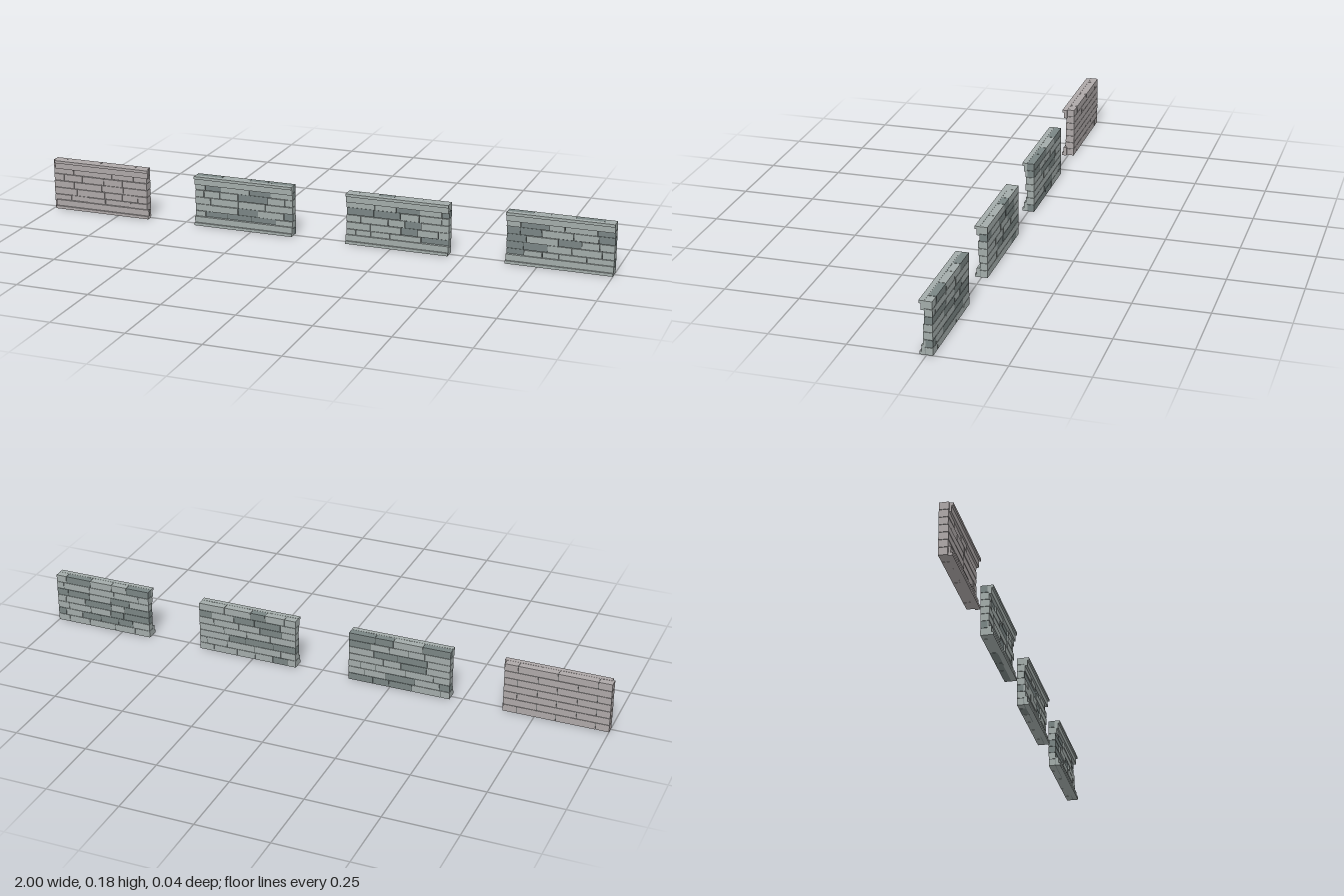
import * as THREE from 'three';

const WIDTH = 0.357, ROWS = 7, ROW_H = 0.025, GAP = 0.0018;
const BACK = -0.02, FACE = 0.0095;

// Small seeded generator for brick lengths, shades and wear
function seeded(seed) {
  let s = seed;
  return () => (s = (s * 16807) % 2147483647) / 2147483647;
}

const paint = color => new THREE.MeshStandardMaterial({ color, flatShading: true });

function addBox(parent, name, material, x0, x1, y0, y1, z0, z1) {
  const mesh = new THREE.Mesh(new THREE.BoxGeometry(x1 - x0, y1 - y0, z1 - z0), material);
  mesh.position.set((x0 + x1) / 2, (y0 + y1) / 2, (z0 + z1) / 2);
  mesh.name = name;
  parent.add(mesh);
}

// Stepped moulding: [z, y] profile swept along the wall
function addMoulding(parent, name, material, profile, shift) {
  const shape = new THREE.Shape(profile.map(p => new THREE.Vector2(...p)));
  const geometry = new THREE.ExtrudeGeometry(shape, { depth: WIDTH, bevelEnabled: false });
  geometry.rotateY(-Math.PI / 2).translate(WIDTH + shift, 0, 0);
  const mesh = new THREE.Mesh(geometry, material);
  mesh.name = name;
  parent.add(mesh);
}

// Joint positions along one course, staggered between rows
function joints(row, regular, rand) {
  const xs = [0];
  let x = row % 2 ? 0.11 : 0.045;
  if (!regular) x = 0.03 + rand() * 0.07;
  while (x < WIDTH - 0.02) {
    xs.push(x);
    x += regular ? 0.133 : 0.05 + rand() * 0.06;
  }
  xs.push(WIDTH);
  return xs;
}

function createWall(name, { seed, regular, wear, shift }) {
  const wall = new THREE.Group();
  wall.name = name;
  const rand = seeded(seed);
  const light = paint(regular ? 0xaea8a8 : 0xa3acaa);
  const dark = paint(regular ? 0xaea8a8 : 0x7a8584);
  const mortar = paint(0x4c5352);

  // Recessed mortar core behind the joints
  addBox(wall, 'mortarCore', mortar, 0.002, WIDTH - 0.002, 0.001, 0.174, BACK + 0.002, 0.004);

  // Courses: a flat back layer and a thin, uneven front layer
  for (let row = 0; row < ROWS; row++) {
    const y0 = row * ROW_H + (row ? GAP / 2 : 0);
    const y1 = (row + 1) * ROW_H - (row < ROWS - 1 ? GAP / 2 : 0);
    const backXs = joints(row, regular, rand);
    for (let i = 0; i < backXs.length - 1; i++) {
      const x0 = backXs[i] + (i ? GAP / 2 : 0);
      const x1 = backXs[i + 1] - (i < backXs.length - 2 ? GAP / 2 : 0);
      addBox(wall, 'brick', rand() < 0.3 ? dark : light, x0, x1, y0, y1, BACK, 0.003);
    }
    const frontXs = joints(row, false, rand);
    for (let i = 0; i < frontXs.length - 1; i++) {
      const x0 = frontXs[i] + (i ? GAP / 2 : 0);
      const x1 = frontXs[i + 1] - (i < frontXs.length - 2 ? GAP / 2 : 0);
      const worn = rand() < wear;
      const z1 = worn ? 0.0055 : FACE + (rand() - 0.5) * 0.003;
      addBox(wall, 'faceBrick', worn ? dark : light, x0, x1, y0, y1, 0.003, z1);
    }
  }

  // Coping and plinth mouldings on the front
  addMoulding(wall, 'coping', light, [
    [0.005, 0.145], [0.016, 0.145], [0.016, 0.166], [0.022, 0.166], [0.022, 0.1755], [0.005, 0.1755]
  ], shift);
  addMoulding(wall, 'plinth', light, [
    [0.005, 0], [0.022, 0], [0.022, 0.010], [0.016, 0.010], [0.016, 0.031], [0.005, 0.031]
  ], shift);
  return wall;
}

export function createModel() {
  const model = new THREE.Group();
  model.name = 'brickWallSet';
  const walls = [
    { x: -1, seed: 11, regular: true, wear: 0, shift: 0.008 },
    { x: -0.459, seed: 227, regular: false, wear: 0.22, shift: 0 },
    { x: 0.091, seed: 3391, regular: false, wear: 0.32, shift: 0 },
    { x: 0.643, seed: 48271, regular: false, wear: 0.3, shift: 0 }
  ];
  walls.forEach((spec, i) => {
    const wall = createWall(i ? 'wornWall' + i : 'plainWall', spec);
    wall.position.x = spec.x;
    model.add(wall);
  });
  return model;
}
